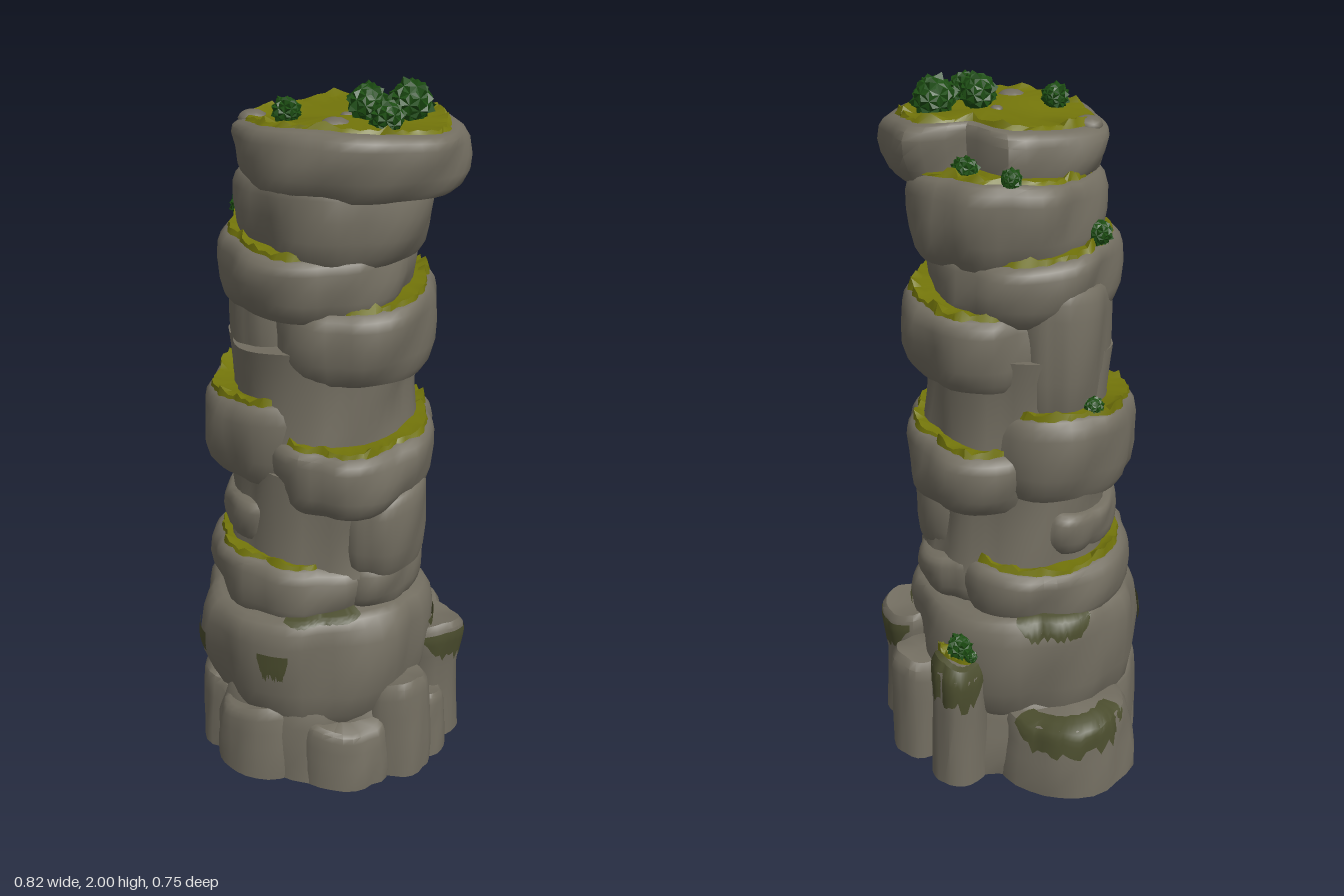
import * as THREE from 'three';
import { toCreasedNormals } from 'three/addons/utils/BufferGeometryUtils.js';

const mat = (name, color, side = THREE.FrontSide) => {
  const m = new THREE.MeshStandardMaterial({ color, side });
  m.name = name;
  return m;
};

// Repeatable pseudo-random value in 0..1
const hash = (a, b) => {
  const s = Math.sin(a * 127.1 + b * 311.7) * 43758.5453;
  return s - Math.floor(s);
};

// Vertical profiles of the boulders: [height fraction, width]
const SLAB = [[0, 0.86], [0.12, 0.93], [0.32, 0.98], [0.55, 1], [0.78, 1], [0.9, 0.975], [0.97, 0.93], [1, 0.87]];
const FOOT = [[0, 1], [0.2, 1], [0.45, 0.97], [0.65, 0.94], [0.85, 0.91], [0.95, 0.86], [1, 0.76]];
const NECK = [[0, 1], [0.2, 0.975], [0.5, 0.955], [0.8, 0.975], [1, 1]];
const FLARE = [[0, 0.9], [0.3, 0.86], [0.62, 0.86], [0.75, 0.93], [0.88, 1], [0.96, 0.97], [1, 0.86]];
const PILLAR = [[0, 1], [0.3, 0.97], [0.6, 0.95], [0.82, 0.98], [0.93, 0.95], [1, 0.8]];

const widthAt = (profile, t) => {
  for (let i = 1; i < profile.length; i++) {
    const [t0, w0] = profile[i - 1], [t1, w1] = profile[i];
    if (t <= t1) return w0 + (w1 - w0) * (t - t0) / (t1 - t0);
  }
  return profile[profile.length - 1][1];
};

// Surface rule of a boulder: rounded lobes parted by vertical clefts, gently dented
function surface({ c, r, y, seed, profile = SLAB, lobes = 6, cleft = 0.07, notch }) {
  return (a, t, scale = 1, lift = 0) => {
    const warp = a + 0.28 * Math.sin(a + seed * 1.7) + 0.16 * Math.sin(2 * a + seed * 2.9);
    const ridge = Math.abs(Math.sin(warp * lobes / 2 + seed));
    let k = 1.015 - cleft * Math.pow(1 - ridge, 2);
    k += 0.022 * Math.sin(3 * a + seed * 5 + t * 4) + 0.015 * Math.sin(7 * a - seed + t * 6);
    if (notch) { // a dip between two raised shoulders
      const d = Math.abs(Math.atan2(Math.sin(a - notch.angle), Math.cos(a - notch.angle))) / notch.width;
      k -= notch.depth * Math.cos(d * Math.PI / 2) * Math.max(0, 1 - d / 3);
    }
    k *= widthAt(profile, t) * scale;
    const wave = t > 0.05 ? 0.012 * Math.sin(2 * a + seed * 3) * t : 0;
    return [c[0] + r[0] * k * Math.cos(a), y[0] + (y[1] - y[0]) * t + wave + lift, c[1] + r[1] * k * Math.sin(a)];
  };
}

// Joins rows of points into a skin; closed rows may be capped
function loft(rows, { closed = true, bottom = false, top = false } = {}) {
  const n = rows[0].length, pos = rows.flat(2), idx = [];
  const last = closed ? n : n - 1;
  for (let j = 0; j < rows.length - 1; j++) for (let i = 0; i < last; i++) {
    const a = j * n + i, b = j * n + (i + 1) % n;
    idx.push(a, a + n, b, b, a + n, b + n);
  }
  const cap = (row, up) => {
    const base = row * n, centre = pos.length / 3;
    pos.push(...[0, 1, 2].map(k => rows[row].reduce((s, p) => s + p[k], 0) / n));
    for (let i = 0; i < n; i++) {
      const p = base + i, q = base + (i + 1) % n;
      idx.push(centre, up ? q : p, up ? p : q);
    }
  };
  if (bottom) cap(0, false);
  if (top) cap(rows.length - 1, true);
  const g = new THREE.BufferGeometry();
  g.setAttribute('position', new THREE.Float32BufferAttribute(pos, 3));
  g.setIndex(idx);
  return toCreasedNormals(g, 0.65);
}

const ring = (n, f) => Array.from({ length: n }, (_, i) => f(i / n * Math.PI * 2, i));

function rockGeometry(o) {
  const s = surface(o), n = o.n || 44;
  return loft((o.profile || SLAB).map(([t]) => ring(n, a => s(a, t))), { bottom: true, top: true });
}

// Thin turf on top of a ledge with a ragged, tufted rim; o.turf is its share of the ledge
function turfGeometry(o) {
  const s = surface(o), n = 72, w = o.turf;
  const rows = [
    ring(n, (a, i) => s(a, 1, w * (1.03 + 0.05 * hash(i, o.seed)), w < 1 ? 0.001 : -0.012 - 0.012 * hash(i, 3))),
    ring(n, (a, i) => s(a, 1, w * (1 + 0.04 * hash(i, o.seed + 5)), 0.006 + 0.02 * hash(i, 9) ** 2)),
    ring(n, a => s(a, 1, w * 0.9, 0.006)),
    ring(n, a => s(a, 1, w * 0.5, 0.008)),
  ];
  return loft(rows, { top: true });
}

// Dark moss hanging over part of a rock face, with a ragged lower edge
function mossGeometry(o, a0, a1, t0, t1) {
  const s = surface(o), n = 26, rows = [];
  for (let j = 0; j <= 5; j++) {
    rows.push(Array.from({ length: n + 1 }, (_, i) => {
      const u = i / n, edge = Math.min(1, 5 * Math.min(u, 1 - u));
      const low = t1 - (t1 - t0) * (0.25 + 0.75 * edge) * (0.65 + 0.35 * hash(i, o.seed));
      return s(a0 + (a1 - a0) * u, low + (t1 - low) * j / 5, 1.015, 0.002);
    }));
  }
  if (t1 === 1) rows.push(rows[5].map((_, i) => s(a0 + (a1 - a0) * i / n, 1, 0.76 + 0.06 * hash(i, 4), 0.007)));
  return loft(rows, { closed: false });
}

// Spiky leafy ball: small pointed leaves raised from every face
function bushGeometry(r, seed) {
  const p = new THREE.IcosahedronGeometry(r * 0.92, 1).attributes.position, pos = [];
  for (let i = 0; i < p.count; i += 3) {
    const [a, b, c] = [0, 1, 2].map(k => new THREE.Vector3().fromBufferAttribute(p, i + k));
    const tip = a.clone().add(b).add(c).setLength(r * (0.92 + 0.28 * hash(i, seed) ** 2));
    for (const [u, v] of [[a, b], [b, c], [c, a]]) pos.push(...u.toArray(), ...v.toArray(), ...tip.toArray());
  }
  const g = new THREE.BufferGeometry();
  g.setAttribute('position', new THREE.Float32BufferAttribute(pos, 3));
  g.computeVertexNormals();
  return g;
}

export function createModel() {
  const group = new THREE.Group();
  const rock = mat('rock', 0x736e61);
  const grass = mat('grass', 0x73750a, THREE.DoubleSide);
  const moss = mat('darkMoss', 0x4b4d2e, THREE.DoubleSide);
  const leaf = mat('leaf', 0x1c4d12);
  const add = (name, geometry, material, x = 0, y = 0, z = 0) => {
    const m = new THREE.Mesh(geometry, material);
    m.name = name;
    m.position.set(x, y, z);
    group.add(m);
  };

  // Stacked layers, alternately stepping left and right; moss: [angle from, to, height from, to]
  const layers = [
    { name: 'baseLower', c: [-0.02, 0.03], r: [0.345, 0.32], y: [0, 0.27], seed: 1, lobes: 9, profile: FOOT },
    { name: 'baseUpper', c: [-0.035, 0.03], r: [0.335, 0.325], y: [0.18, 0.53], seed: 2, lobes: 7,
      moss: [[1.68, 1.96, 0.45, 0.72], [1.0, 1.75, 0.95, 1], [3.9, 4.6, 0.8, 1], [2.6, 2.9, 0.4, 0.65], [-0.22, 0.2, 0.58, 0.7]] },
    { name: 'lowerLeftLedge', c: [-0.07, 0.02], r: [0.27, 0.285], y: [0.49, 0.68], seed: 3, turf: 1 },
    { name: 'lowerRightBlock', c: [0.12, 0.02], r: [0.155, 0.23], y: [0.53, 0.67], seed: 4, lobes: 5,
      moss: [[0.7, 1.1, 0.85, 1]] },
    { name: 'lowerNeck', c: [-0.005, 0.025], r: [0.28, 0.245], y: [0.64, 0.95], seed: 5, profile: NECK, lobes: 7 },
    { name: 'neckRightBlock', c: [0.15, 0.06], r: [0.14, 0.215], y: [0.65, 0.9], seed: 13, lobes: 4 },
    { name: 'neckLeftBlock', c: [-0.16, 0.02], r: [0.14, 0.2], y: [0.7, 0.83], seed: 16, lobes: 5 },
    { name: 'middleLeftLedge', c: [-0.11, 0], r: [0.245, 0.255], y: [0.9, 1.145], seed: 6, turf: 1 },
    { name: 'middleRightLedge', c: [0.055, 0.025], r: [0.245, 0.31], y: [0.85, 1.05], seed: 7, turf: 1 },
    { name: 'middleNeck', c: [-0.015, 0.015], r: [0.265, 0.25], y: [1.02, 1.3], seed: 8, profile: NECK },
    { name: 'upperRightLedge', c: [0.06, 0.01], r: [0.24, 0.285], y: [1.22, 1.445], seed: 9, turf: 1 },
    { name: 'upperLeftColumn', c: [-0.14, -0.02], r: [0.14, 0.2], y: [1.13, 1.5], seed: 10, lobes: 5 },
    { name: 'upperLeftLedge', c: [-0.03, 0.03], r: [0.265, 0.275], y: [1.4, 1.59], seed: 11, turf: 1 },
    { name: 'upperNeck', c: [0.022, 0.025], r: [0.267, 0.275], y: [1.55, 1.78], seed: 12, turf: 0.97 },
    { name: 'summit', c: [0.065, 0.078], r: [0.305, 0.24], y: [1.73, 1.9], seed: 14, turf: 0.94, lobes: 5, cleft: 0.04,
      notch: { angle: -1.45, depth: 0.26, width: 0.26 } },
  ];

  // Buttresses and boulders around the foot
  const foot = (name, c, r, h, seed, patches, profile = FOOT) => layers.push(
    { name, c, r, y: [0, h], seed, lobes: 4, n: 26, profile, cleft: 0.09, moss: patches });
  foot('backLeftBoulder', [-0.195, -0.165], [0.205, 0.2], 0.23, 21, [[3.3, 5.5, 0.55, 1]]);
  foot('backButtress', [0.1, -0.255], [0.085, 0.115], 0.4, 22, [[3.3, 6.1, 0.64, 1]], PILLAR);
  foot('rightButtress', [0.295, 0], [0.11, 0.1], 0.39, 23, [[-1.6, 1.6, 0.64, 0.93]], FLARE);
  foot('backRightButtress', [0.245, -0.165], [0.085, 0.095], 0.34, 24, [], PILLAR);
  foot('frontRightButtress', [0.22, 0.185], [0.105, 0.105], 0.3, 25);
  foot('frontBoulder', [0.07, 0.265], [0.14, 0.108], 0.19, 26);
  foot('frontLeftBoulder', [-0.155, 0.235], [0.145, 0.11], 0.22, 27);
  foot('leftBoulder', [-0.27, 0.06], [0.11, 0.17], 0.24, 28);
  foot('rightLowBoulder', [0.285, 0.095], [0.08, 0.095], 0.2, 29);

  for (const o of layers) {
    add(o.name, rockGeometry(o), rock);
    if (o.turf) add(o.name + 'Turf', turfGeometry(o), grass);
    for (const p of o.moss || []) add(o.name + 'Moss', mossGeometry(o, ...p), moss);
  }
  add('buttressTurf', turfGeometry({ c: [0.1, -0.265], r: [0.065, 0.05], y: [0.38, 0.41], seed: 30, turf: 1 }), grass);

  // Bushes on the summit and ledges: x, y, z, radius
  [[-0.09, 1.93, 0.15, 0.037], [0.11, 1.945, 0.1, 0.051], [0.215, 1.938, 0.04, 0.058], [0.17, 1.93, 0.195, 0.044],
    [0.09, 1.8, -0.145, 0.036], [-0.04, 1.8, -0.2, 0.029], [-0.243, 1.625, -0.045, 0.037],
    [-0.255, 1.165, -0.14, 0.028], [0.09, 0.44, -0.285, 0.038], [0.06, 0.415, -0.29, 0.022]]
    .forEach(([x, y, z, r], i) => add('bush', bushGeometry(r, i + 1), leaf, x, y, z));

  // Loose stones on the summit: x, y, z, radius
  [[0.04, 1.905, 0.205, 0.042], [0.055, 1.905, 0.08, 0.018], [0.2, 1.905, -0.07, 0.016], [-0.195, 1.885, 0.05, 0.04]]
    .forEach(([x, y, z, r]) => {
      const g = new THREE.IcosahedronGeometry(r, 1);
      g.scale(1, 0.6, 1);
      add('stone', g, rock, x, y, z);
    });

  return group;
}
